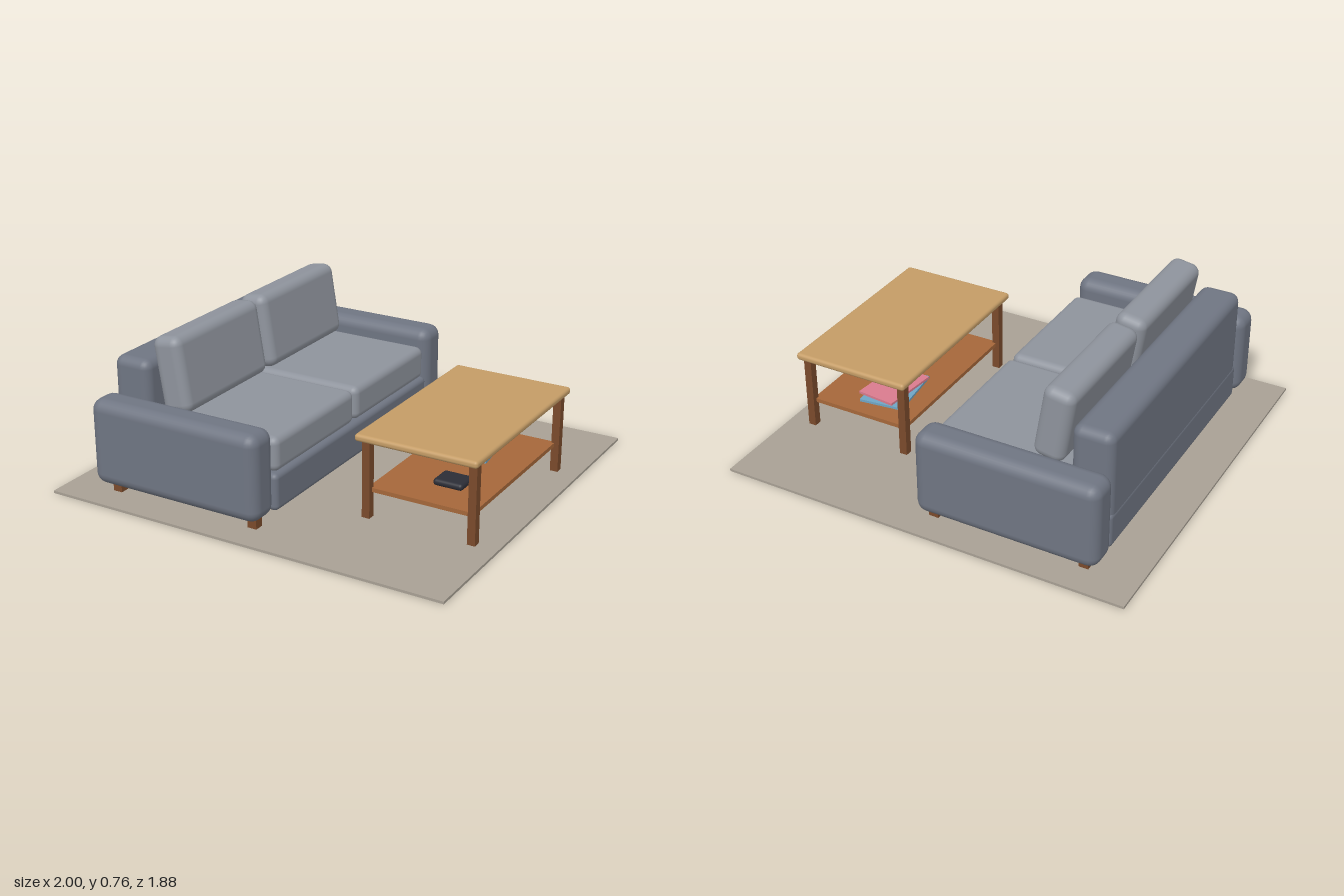
import * as THREE from 'three';
import { RoundedBoxGeometry } from 'three/addons/geometries/RoundedBoxGeometry.js';

const mat = (color) => new THREE.MeshStandardMaterial({ color });

export function createModel() {
  const root = new THREE.Group();
  root.name = 'livingRoomSet';
  const fabric = mat(0x6f7582), cushion = mat(0x8e939c), legWood = mat(0x7a4a2b);
  const topWood = mat(0xc49c66), shelfWood = mat(0xa5673a);

  // Box given by its centre and size; radius > 0 rounds its edges
  function box(parent, name, material, [x, y, z], [w, h, d], radius = 0, segments = 3) {
    const geometry = radius
      ? new RoundedBoxGeometry(w, h, d, segments, radius)
      : new THREE.BoxGeometry(w, h, d);
    const mesh = new THREE.Mesh(geometry, material);
    mesh.name = name;
    mesh.position.set(x, y, z);
    parent.add(mesh);
    return mesh;
  }

  function group(name) {
    const g = new THREE.Group();
    g.name = name;
    root.add(g);
    return g;
  }

  box(root, 'rug', mat(0xa8a094), [0, 0.006, 0], [2, 0.012, 1.88]);

  // Sofa, facing +x
  const sofa = group('sofa');
  box(sofa, 'sofaBase', fabric, [-0.38, 0.147, 0], [0.87, 0.178, 1.385], 0.025);
  box(sofa, 'backrest', fabric, [-0.715, 0.345, 0], [0.195, 0.57, 1.39], 0.045);
  for (const s of [-1, 1]) {
    box(sofa, 'armrest', fabric, [-0.388, 0.264, s * 0.778], [0.885, 0.412, 0.166], 0.055);
    box(sofa, 'seatCushion', cushion, [-0.285, 0.317, s * 0.342], [0.665, 0.165, 0.67], 0.035);
    const back = box(sofa, 'backCushion', cushion, [-0.518, 0.573, s * 0.342], [0.15, 0.36, 0.654], 0.045);
    back.rotation.z = 0.16;
    for (const x of [-0.743, -0.008])
      box(sofa, 'sofaLeg', legWood, [x, 0.04, s * 0.773], [0.046, 0.06, 0.046]);
  }

  // Coffee table
  const table = group('coffeeTable');
  box(table, 'tableTop', topWood, [0.62, 0.402, 0], [0.59, 0.035, 0.988], 0.015);
  box(table, 'shelf', shelfWood, [0.62, 0.144, 0], [0.51, 0.02, 0.87]);
  for (const x of [0.365, 0.88])
    for (const z of [-0.438, 0.438])
      box(table, 'tableLeg', legWood, [x, 0.199, z], [0.038, 0.374, 0.038]);

  // Things on the shelf
  const items = group('shelfItems');
  box(items, 'lowerBook', mat(0x6fa5c4), [0.575, 0.16, -0.19], [0.22, 0.012, 0.31]).rotation.y = 0.12;
  box(items, 'upperBook', mat(0xd97b8e), [0.585, 0.172, -0.18], [0.195, 0.012, 0.29]).rotation.y = -0.1;
  box(items, 'remote', mat(0x2b2d36), [0.672, 0.171, 0.22], [0.145, 0.033, 0.12], 0.016);

  return root;
}
